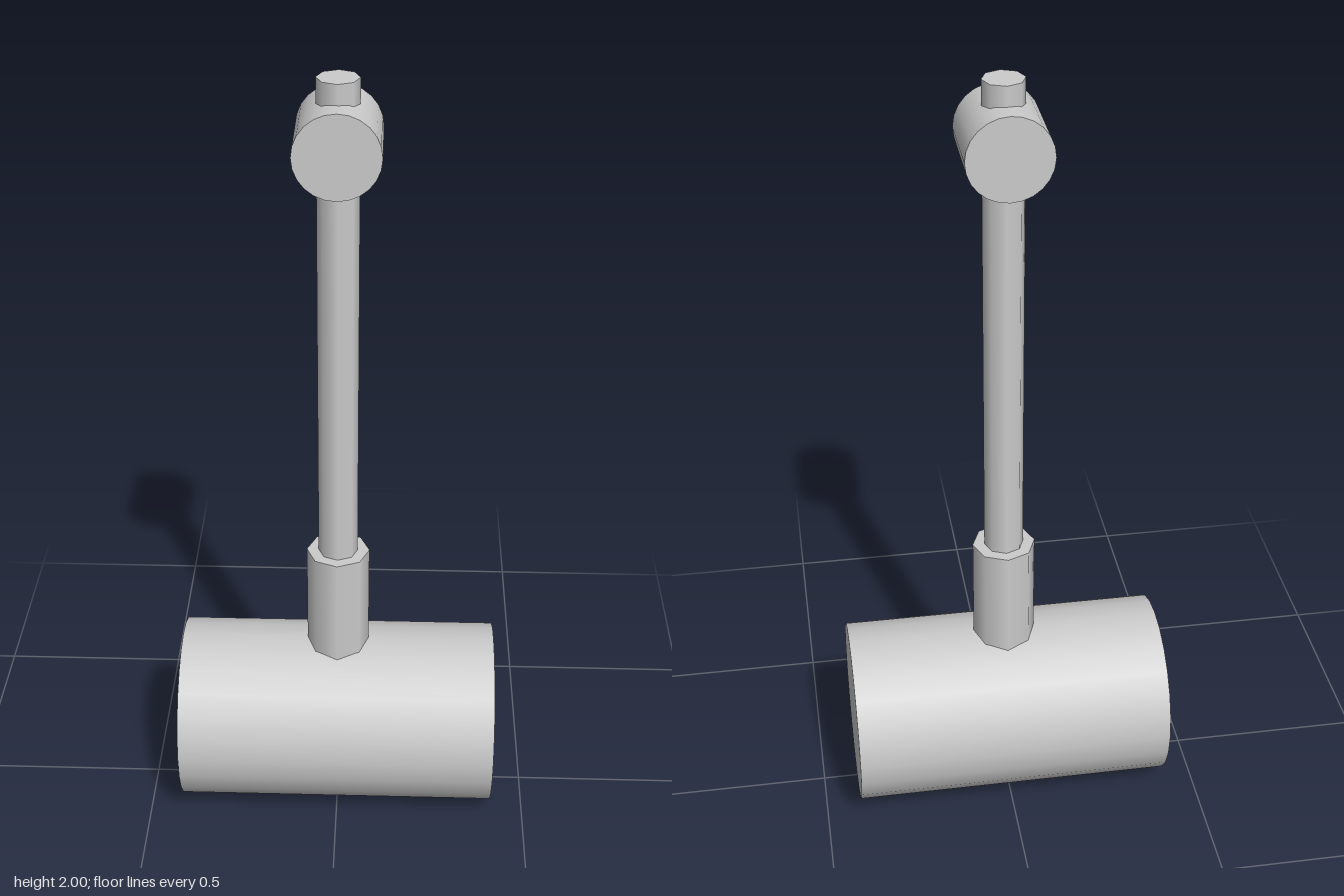
import * as THREE from 'three';

export function createModel() {
  const group = new THREE.Group();
  group.name = 'mallet';
  const material = new THREE.MeshStandardMaterial({ color: 0xcccccc });

  // Capped cylinder centred at height y, lying along the given axis
  function addCylinder(name, radius, length, sides, y, axis = 'y') {
    const geometry = new THREE.CylinderGeometry(radius, radius, length, sides);
    if (axis === 'x') geometry.rotateZ(Math.PI / 2);
    if (axis === 'z') geometry.rotateX(Math.PI / 2);
    const mesh = new THREE.Mesh(geometry, material);
    mesh.name = name;
    mesh.position.y = y;
    group.add(mesh);
  }

  // Heavy striking head resting on the ground
  addCylinder('head', 0.236, 0.82, 24, 0.236, 'x');

  // Collar joining the head to the handle
  addCylinder('collar', 0.08, 0.4, 8, 0.55);

  // Slim octagonal handle
  addCylinder('handle', 0.05, 1.5, 8, 1.25);

  // Cross grip near the handle's end
  addCylinder('crossGrip', 0.102, 0.204, 24, 1.85, 'z');

  return group;
}
